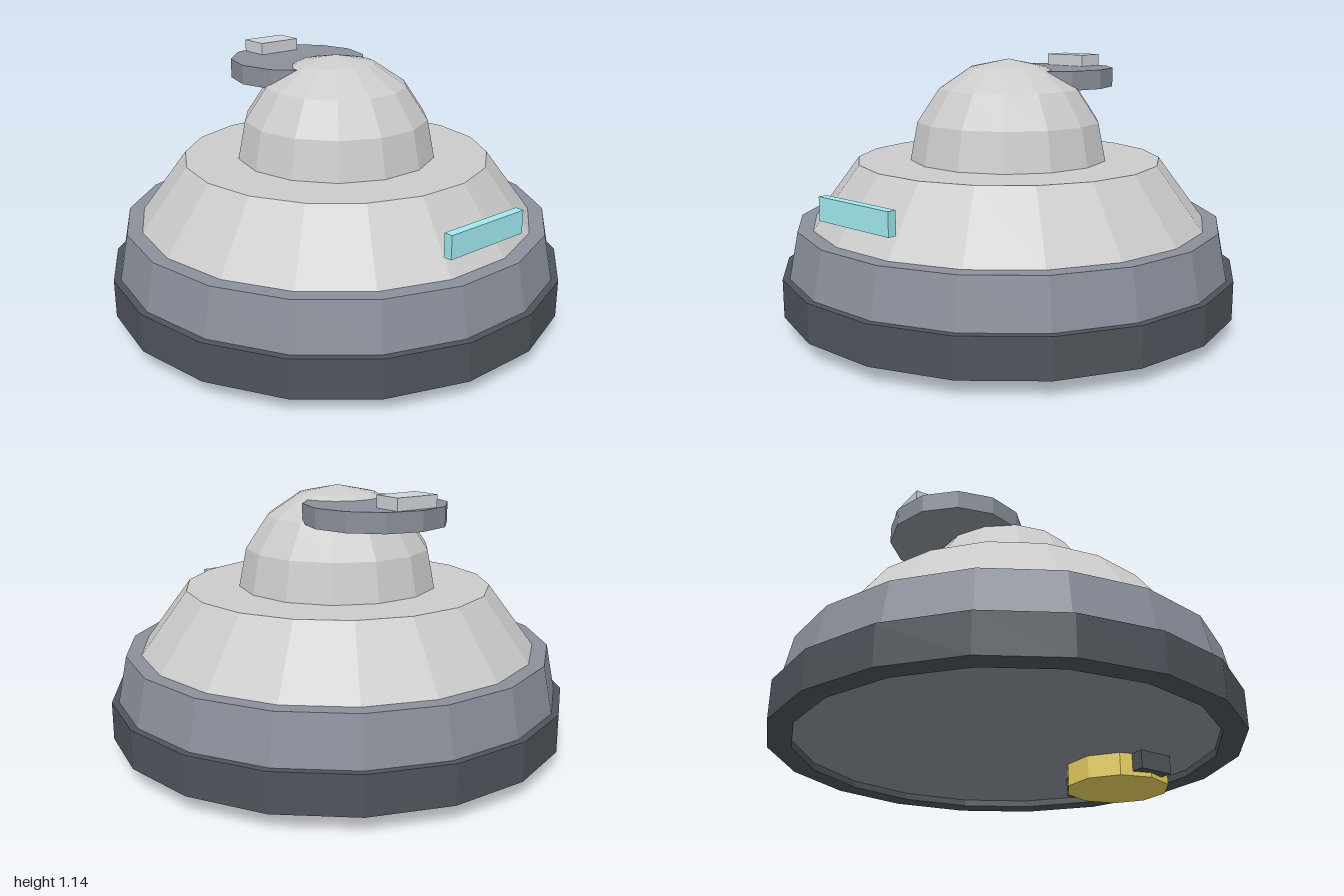
import * as THREE from 'three';

const mat = (color) => new THREE.MeshStandardMaterial({ color, flatShading: true });

export function createModel() {
  const model = new THREE.Group();
  const light = mat(0xcccccc);
  const slate = mat(0x8a8f9a);
  const dark = mat(0x4f545b);
  const pale = mat(0xcfd4da);
  const cyan = mat(0x9fe8f0);
  const yellow = mat(0xe8d060);

  const add = (name, geometry, material, x = 0, y = 0, z = 0) => {
    const mesh = new THREE.Mesh(geometry, material);
    mesh.name = name;
    mesh.position.set(x, y, z);
    model.add(mesh);
    return mesh;
  };
  // Faceted solid of revolution with corners on the x axis
  const turned = (profile, sides) =>
    new THREE.LatheGeometry(profile.map(([r, y]) => new THREE.Vector2(r, y)), sides, Math.PI / 2);

  // Stepped hull: rim with a shallow recess below, sloped skirt, upper deck
  add('baseRim', turned([[0.9, 0.1], [0.9, 0.07], [1, 0.07], [1, 0.235], [0.9, 0.235]], 18), dark);
  add('skirt', turned([[0, 0.1], [0.92, 0.1], [0.97, 0.235], [0.93, 0.435], [0, 0.435]], 18), slate);
  add('upperDeck', turned([[0.865, 0.435], [0.665, 0.703], [0, 0.703]], 18), light);

  // Dome: faceted hemisphere
  const R = 0.433;
  const arc = [0, 1, 2, 3, 4].map((i) => {
    const a = (i * Math.PI) / 8;
    return [i === 4 ? 0 : R * Math.cos(a), 0.702 + R * Math.sin(a)];
  });
  add('dome', turned(arc, 14), light);

  // Rear disc platform with a small block on top
  add('rearDisc', new THREE.CylinderGeometry(0.3, 0.3, 0.083, 12), slate, 0, 1.044, -0.267);
  add('rearBlock', new THREE.BoxGeometry(0.2, 0.052, 0.13), pale, 0, 1.111, -0.467);

  // Front window strip
  add('frontWindow', new THREE.BoxGeometry(0.4, 0.097, 0.037), cyan, 0, 0.588, 0.87);

  // Underside lamp with its cross mount
  add('lamp', turned([[0, 0], [0.233, 0], [0.233, 0.105], [0, 0.105]], 10), yellow, 0, 0, 0.603);
  add('lampMount', new THREE.BoxGeometry(0.535, 0.085, 0.165), dark, 0, 0.0625, 0.603);

  return model;
}
